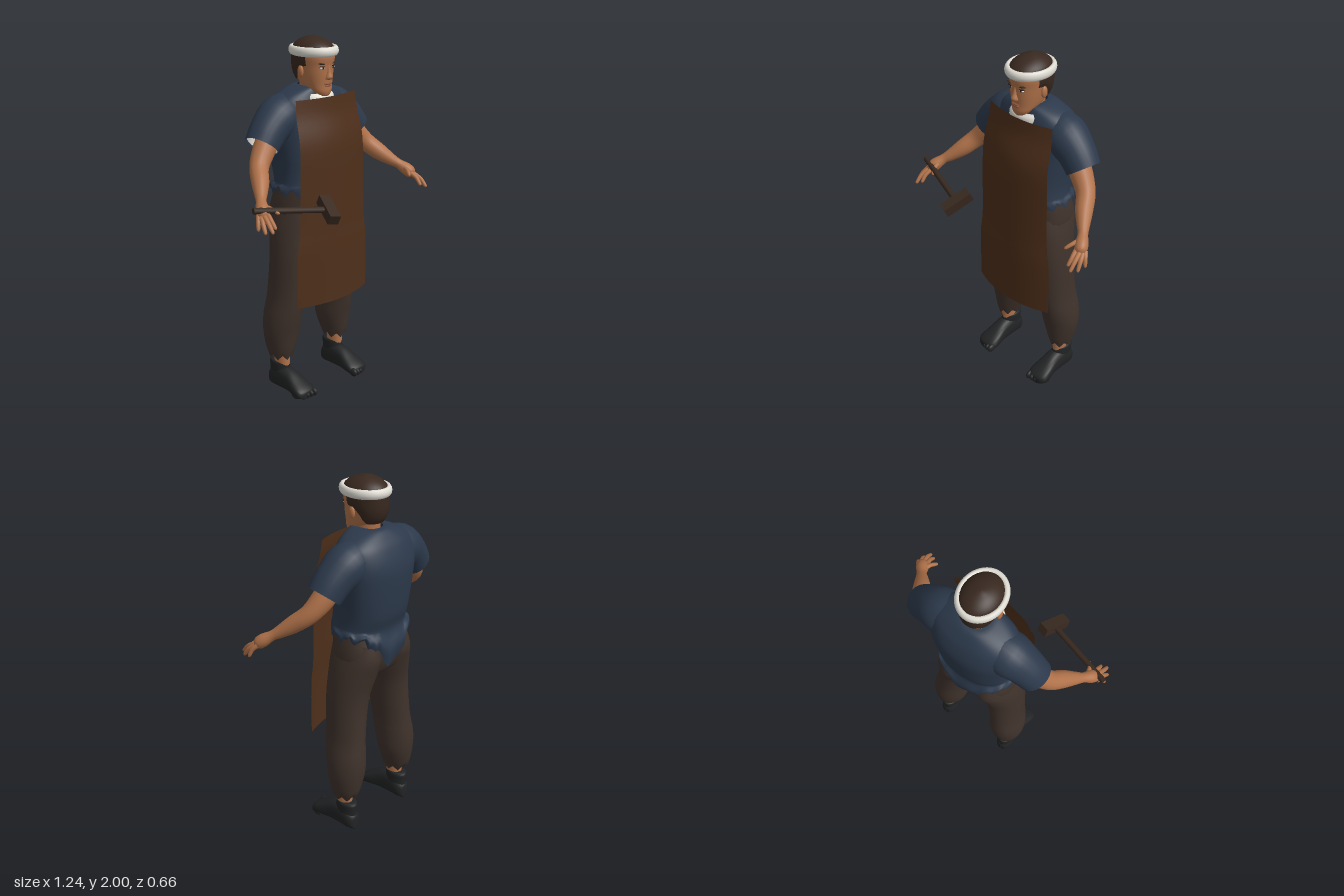
import * as THREE from 'three';

const mat = (name, color, side = THREE.FrontSide) => {
  const m = new THREE.MeshStandardMaterial({ color, side });
  m.name = name;
  return m;
};
const V = (x, y, z) => new THREE.Vector3(x, y, z);

// Smoothly resample rows of numbers (Catmull-Rom on every column)
function smooth(rows, steps = 4) {
  const out = [], last = rows.length - 1;
  for (let i = 0; i < last; i++) {
    const p = [rows[Math.max(0, i - 1)], rows[i], rows[i + 1], rows[Math.min(last, i + 2)]];
    for (let k = 0; k < steps; k++) {
      const t = k / steps;
      out.push(rows[i].map((_, c) => {
        const [a, b, d, e] = p.map(r => r[c]);
        return b + 0.5 * t * (d - a + t * (2 * a - 5 * b + 4 * d - e + t * (3 * (b - d) + e - a)));
      }));
    }
  }
  out.push(rows[last]);
  return out;
}

// Skin a surface over rings of points
function loft(rings, closed = true) {
  const n = rings[0].length, index = [];
  for (let i = 0; i < rings.length - 1; i++) {
    for (let j = 0; j < (closed ? n : n - 1); j++) {
      const k = (j + 1) % n, a = i * n + j, b = i * n + k;
      index.push(a, b, b + n, a, b + n, a + n);
    }
  }
  const g = new THREE.BufferGeometry().setFromPoints(rings.flat());
  g.setIndex(index);
  g.computeVertexNormals();
  return g;
}

// Horizontal oval rings, bottom to top: [y, halfWidth, zFront, zBack, centreX]
function stack(rows, { segs = 28, pow = 1, from = -Math.PI, to = Math.PI, yFn = y => y, steps = 4 } = {}) {
  const closed = to - from > 6.28;
  const bend = v => Math.sign(v) * Math.abs(v) ** pow;
  return loft(smooth(rows, steps).map(([y, w, f, b, cx = 0]) =>
    Array.from({ length: closed ? segs : segs + 1 }, (_, j) => {
      const a = from + (to - from) * j / segs;
      return V(cx + w * bend(Math.sin(a)), yFn(y, a), (f + b) / 2 + (f - b) / 2 * bend(Math.cos(a)));
    })), closed);
}

// Round limb along a path of [x, y, z, radius]
function limb(points, segs = 16, steps = 4) {
  const rows = smooth(points, steps);
  return loft(rows.map(([x, y, z, r], i) => {
    const p = rows[Math.max(0, i - 1)], q = rows[Math.min(rows.length - 1, i + 1)];
    const t = V(q[0] - p[0], q[1] - p[1], q[2] - p[2]).normalize();
    const u = V(0, 0, 1).cross(t).normalize(), v = u.clone().cross(t);
    return Array.from({ length: segs }, (_, j) => {
      const a = j / segs * Math.PI * 2;
      return V(x, y, z).addScaledVector(u, r * Math.sin(a)).addScaledVector(v, r * Math.cos(a));
    });
  }));
}

export function createModel() {
  const root = new THREE.Group();
  const D = THREE.DoubleSide;
  const skin = mat('skin', 0xb0724a), shirt = mat('navy cloth', 0x2c394b, D), pants = mat('brown cloth', 0x3f322b, D);
  const leather = mat('leather', 0x4e2f1a, D), sock = mat('black cloth', 0x222324), hair = mat('dark hair', 0x38281f, D);
  const white = mat('white cloth', 0xe0ddd4, D), wood = mat('dark wood', 0x38291f), dark = mat('eye black', 0x1a1412);
  const lip = mat('lip', 0x8a503a);
  const add = (name, geo, m, parent = root) => {
    const mesh = new THREE.Mesh(geo, m);
    mesh.name = name;
    parent.add(mesh);
    return mesh;
  };
  const blob = (name, m, x, y, z, rx, ry, rz) => {
    const b = add(name, new THREE.SphereGeometry(1, 16, 12), m);
    b.position.set(x, y, z);
    b.scale.set(rx, ry, rz);
    return b;
  };

  // Shirt body with a ragged hem that hangs lower at front and back
  const hem = (y, a) => {
    if (y >= 1.22) return y;
    const k = 0.2 + 0.75 * Math.abs(Math.cos(a)) ** 7 + 0.09 * Math.sin(13 * a) + 0.06 * Math.sin(29 * a);
    return 1.22 - (1.22 - y) * k;
  };
  add('shirt', stack([
    [1.0, 0.228, 0.02, -0.3], [1.1, 0.226, 0.03, -0.317], [1.2, 0.212, 0.035, -0.29], [1.3, 0.208, 0.025, -0.315],
    [1.45, 0.225, 0.01, -0.328], [1.56, 0.24, 0, -0.327], [1.65, 0.232, -0.02, -0.298], [1.7, 0.185, -0.035, -0.265],
    [1.735, 0.1, -0.045, -0.23], [1.74, 0.06, -0.06, -0.2]], { segs: 64, pow: 0.85, yFn: hem }), shirt);

  // Trouser seat
  add('trouserSeat', stack([
    [0.9, 0.04, -0.08, -0.18], [0.95, 0.17, -0.01, -0.26], [1.03, 0.222, 0.005, -0.297], [1.1, 0.222, 0.012, -0.306],
    [1.18, 0.206, 0.022, -0.285], [1.23, 0.195, 0.02, -0.28]], { pow: 0.85 }), pants);

  // Neck, collar and head
  add('neck', stack([[1.64, 0.085, -0.03, -0.2], [1.7, 0.065, -0.035, -0.185], [1.8, 0.065, -0.04, -0.19]]), skin);
  add('collar', stack([[1.66, 0.12, 0, -0.2], [1.685, 0.11, 0, -0.19], [1.705, 0.1, -0.015, -0.18]],
    { from: -1.5, to: 1.5 }), white);
  add('head', stack([
    [1.686, 0.005, -0.02, -0.04], [1.69, 0.032, 0, -0.07], [1.715, 0.056, 0.01, -0.11], [1.75, 0.073, 0.01, -0.17],
    [1.8, 0.085, 0.014, -0.205], [1.85, 0.092, 0.016, -0.22], [1.9, 0.096, 0.022, -0.222], [1.95, 0.088, 0, -0.2]],
    { pow: 0.92 }), skin);
  add('nose', stack([
    [1.778, 0.004, 0.02, 0], [1.783, 0.02, 0.03, -0.01], [1.795, 0.019, 0.037, -0.01], [1.82, 0.011, 0.027, -0.01],
    [1.86, 0.008, 0.016, -0.01]], { segs: 12 }), skin);
  blob('upperLip', lip, 0, 1.757, 0.01, 0.028, 0.005, 0.01);
  blob('lowerLip', lip, 0, 1.747, 0.008, 0.022, 0.006, 0.01);
  for (const s of [1, -1]) {
    blob('eyeWhite', white, s * 0.037, 1.842, 0.003, 0.015, 0.006, 0.009);
    blob('iris', dark, s * 0.037, 1.842, 0.008, 0.007, 0.006, 0.006);
    blob('eyelid', dark, s * 0.037, 1.849, 0.005, 0.019, 0.003, 0.009);
    blob('eyebrow', hair, s * 0.039, 1.864, 0.004, 0.024, 0.005, 0.011).rotation.z = s * 0.12;
    blob('ear', skin, s * 0.098, 1.82, -0.098, 0.012, 0.032, 0.02);
  }

  // Hair: crown and the cropped back and sides
  add('hairCrown', stack([
    [1.9, 0.1, 0.026, -0.228], [1.94, 0.1, 0.02, -0.225], [1.965, 0.083, -0.005, -0.205], [1.985, 0.055, -0.045, -0.17],
    [1.997, 0.022, -0.09, -0.13], [2, 0.002, -0.108, -0.112]]), hair);
  add('hairBack', stack([[1.765, 0.08, 0, -0.205], [1.8, 0.094, 0.02, -0.226], [1.85, 0.103, 0.03, -0.236],
    [1.93, 0.104, 0.03, -0.234]], {
    from: 1.25, to: 2 * Math.PI - 1.25,
    yFn: (y, a) => 1.93 - (1.93 - y) * (0.6 + 0.4 * Math.min(1, Math.max(0, -Math.cos(a) * 1.6)))
  }), hair);

  // Rolled headband
  const band = add('headband', new THREE.TorusGeometry(0.107, 0.0155, 12, 48), white);
  band.rotation.x = Math.PI / 2;
  band.scale.set(1, 1.185, 1.65);
  band.position.set(0, 1.925, -0.1);

  for (const s of [1, -1]) {
    const side = new THREE.Group();
    side.name = s > 0 ? 'leftLimbs' : 'rightLimbs';
    root.add(side);
    const path = pts => pts.map(([x, ...rest]) => [s * x, ...rest]);

    // Sleeve with a pale lining
    add('sleeve', limb(path([[0.08, 1.625, -0.165, 0.09], [0.19, 1.585, -0.16, 0.118], [0.28, 1.525, -0.15, 0.103],
      [0.342, 1.452, -0.14, 0.093]]), 24), shirt, side);
    add('sleeveLining', limb(path([[0.29, 1.51, -0.148, 0.078], [0.337, 1.457, -0.14, 0.088]]), 24), white, side);

    // Arm and palm
    add('arm', limb(path([[0.26, 1.53, -0.15, 0.06], [0.33, 1.44, -0.13, 0.062], [0.4, 1.36, -0.095, 0.052],
      [0.45, 1.3, -0.03, 0.047], [0.495, 1.255, 0.025, 0.034], [0.522, 1.232, 0.057, 0.027], [0.548, 1.203, 0.095, 0.035],
      [0.565, 1.18, 0.122, 0.03], [0.575, 1.168, 0.138, 0.003]])), skin, side);

    // Fingers and thumb
    const fingers = [
      [0.545, 1.185, 0.13, 0.553, 1.13, 0.198], [0.568, 1.178, 0.135, 0.583, 1.118, 0.213],
      [0.58, 1.175, 0.122, 0.605, 1.113, 0.183], [0.582, 1.18, 0.105, 0.613, 1.122, 0.138],
      [0.53, 1.215, 0.085, 0.5, 1.188, 0.16]];
    for (const [x, y, z, X, Y, Z] of fingers) {
      add('finger', limb(path([[x, y, z, 0.014], [(x + X) / 2 + 0.004, (y + Y) / 2 + 0.006, (z + Z) / 2 + 0.004, 0.012],
        [X, Y, Z, 0.009], [X, Y - 0.006, Z + 0.006, 0.001]]), 10, 3), skin, side);
    }

    // Baggy trouser leg with a ragged cuff
    const leg = [
      [0.205, 0.06, -0.085, -0.225, 0.215], [0.25, 0.075, -0.072, -0.25, 0.213], [0.35, 0.1, -0.055, -0.267, 0.205],
      [0.45, 0.103, -0.035, -0.27, 0.2], [0.58, 0.096, -0.018, -0.257, 0.185], [0.8, 0.107, -0.002, -0.252, 0.16],
      [0.95, 0.12, 0.003, -0.28, 0.13], [1.05, 0.112, 0.005, -0.302, 0.115], [1.14, 0.09, -0.01, -0.285, 0.11]];
    add('trouserLeg', stack(leg.map(r => [...r.slice(0, 4), s * r[4]]),
      { yFn: (y, a) => y < 0.25 ? y + 0.014 * Math.sin(7 * a) * (0.25 - y) / 0.045 : y }), pants, side);

    // Ankle and foot covering with toes
    const cx = s * 0.212;
    add('ankle', stack([[0.13, 0.038, -0.1, -0.2, cx], [0.3, 0.042, -0.1, -0.2, cx]]), skin, side);
    add('sockCuff', stack([[0.04, 0.048, -0.08, -0.238, cx], [0.11, 0.046, -0.095, -0.235, cx], [0.16, 0.046, -0.102, -0.236, cx],
      [0.166, 0.03, -0.11, -0.2, cx]]), sock, side);
    const foot = [[-0.242, 0.003, 0.07], [-0.235, 0.03, 0.09], [-0.2, 0.048, 0.12], [-0.14, 0.05, 0.14], [-0.07, 0.052, 0.125],
      [0, 0.064, 0.088], [0.045, 0.064, 0.062], [0.065, 0.04, 0.045], [0.068, 0.003, 0.03]];
    add('foot', loft(smooth(foot).map(([z, w, top]) => Array.from({ length: 20 }, (_, j) => {
      const a = j / 20 * Math.PI * 2, c = Math.cos(a);
      return V(cx - w * Math.sin(a), top / 2 + top / 2 * Math.sign(c) * Math.abs(c) ** 0.7, z);
    }))), sock, side);
    for (let i = 0; i < 5; i++) {
      const r = 0.019 - i * 0.0018;
      blob('toe', sock, s * (0.164 + i * 0.025), r * 1.3, 0.056 - i * i * 0.0025, r * 0.85, r * 1.3, 0.03);
    }
  }

  // Leather apron: [y, halfWidth, zCentre, edgeSetback]
  const rows = smooth([[0.555, 0.267, 0.094, 0.058], [0.85, 0.264, 0.094, 0.058], [1.0, 0.246, 0.09, 0.055],
    [1.25, 0.24, 0.084, 0.05], [1.45, 0.234, 0.074, 0.045], [1.6, 0.226, 0.034, 0.04], [1.69, 0.219, 0.022, 0.04]]);
  add('apron', loft(rows.map(([y, w, z, d]) => Array.from({ length: 17 }, (_, j) => {
    const u = j / 8 - 1;
    return V(0.011 + w * u, y, z - d * u * u);
  })), false), leather);

  // Hammer held in the right hand
  const hammer = new THREE.Group();
  hammer.name = 'hammer';
  const along = V(0.398, -0.052, 0.132).normalize();
  const up = V(0.055, 0.074, -0.145);
  up.addScaledVector(along, -up.dot(along)).normalize();
  hammer.quaternion.setFromRotationMatrix(new THREE.Matrix4().makeBasis(along, up, along.clone().cross(up)));
  hammer.position.set(-0.222, 1.163, 0.238);
  root.add(hammer);
  add('hammerHead', new THREE.BoxGeometry(0.06, 0.168, 0.055), wood, hammer);
  const handle = add('hammerHandle', new THREE.CylinderGeometry(0.016, 0.016, 0.42, 8), wood, hammer);
  handle.rotation.z = Math.PI / 2;
  handle.position.x = -0.21;
  return root;
}
